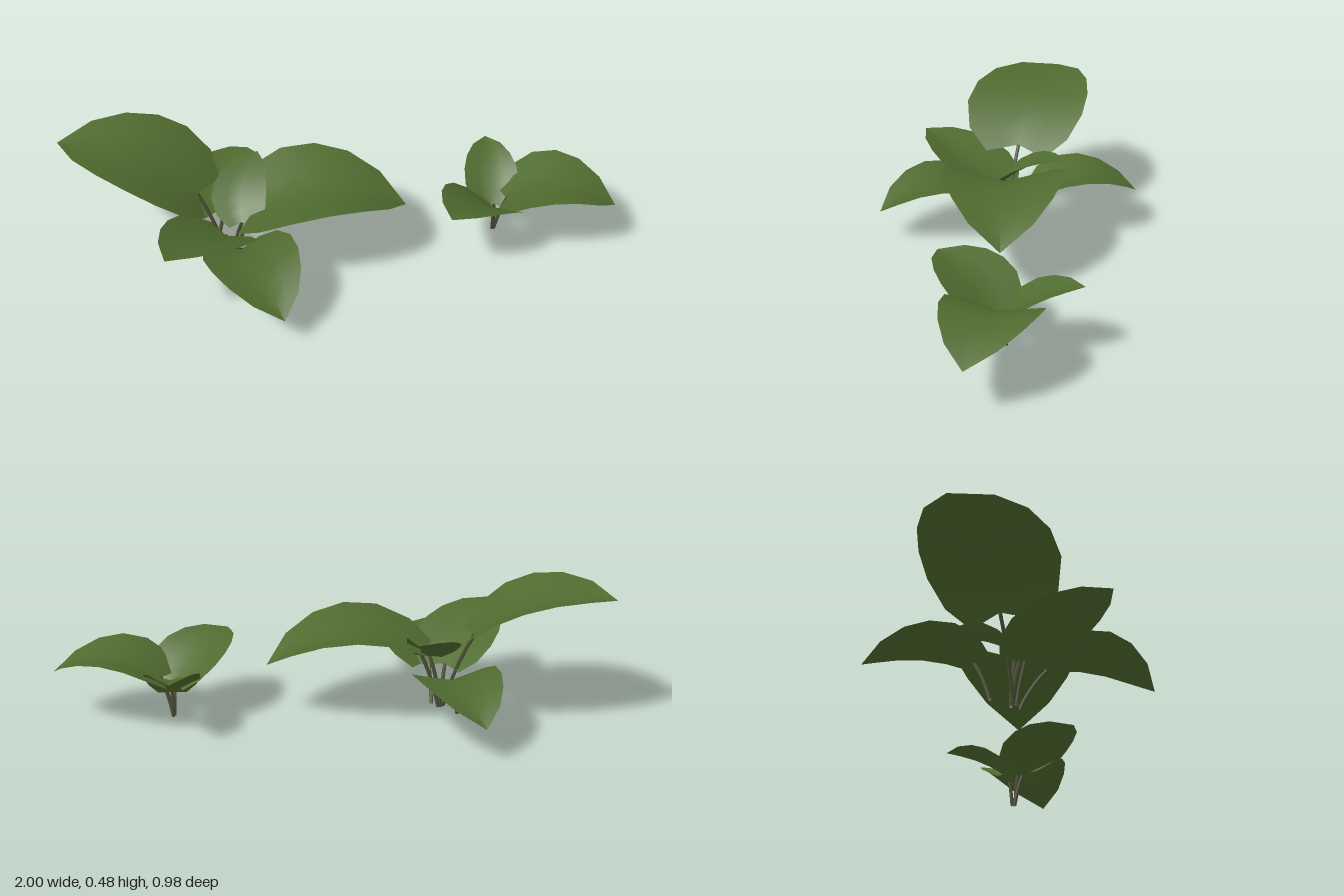
import * as THREE from 'three';

const leafGreen = new THREE.MeshStandardMaterial({ color: 0x4f6b2f, side: THREE.DoubleSide });
leafGreen.name = 'leafGreen';
const stemOlive = new THREE.MeshStandardMaterial({ color: 0x4c4f36, side: THREE.DoubleSide });
stemOlive.name = 'stemOlive';

const V = (p) => new THREE.Vector3(...p);

// Half-width of a leaf along its length: [t, share of full half-width]
const PROFILE = [[0, 0.5], [0.12, 0.85], [0.3, 1], [0.48, 0.97], [0.66, 0.81], [0.84, 0.51], [1, 0]];
const ACROSS = [-1, -0.5, 0, 0.5, 1];

// Heart-shaped blade: the midrib passes through base, mid and tip; sides fold up
function leafGeometry({ base, mid, tip, half, fold = 0.24, roll = 0 }) {
  const b = V(base), e = V(tip);
  const control = V(mid).multiplyScalar(2).addScaledVector(b, -0.5).addScaledVector(e, -0.5);
  const rib = new THREE.QuadraticBezierCurve3(b, control, e);
  const length = b.distanceTo(e);
  const heading = e.clone().sub(b).setY(0).normalize();
  const positions = [], index = [];
  PROFILE.forEach(([t, w], i) => {
    const p = rib.getPoint(t), tangent = rib.getTangent(t);
    const side = new THREE.Vector3(0, 1, 0).cross(heading).applyAxisAngle(tangent, roll);
    const up = tangent.clone().cross(side).normalize();
    ACROSS.forEach((s, j) => {
      const q = p.clone()
        .addScaledVector(side, s * w * half)
        .addScaledVector(up, Math.abs(s) * w * half * fold)
        .addScaledVector(tangent, -0.1 * length * Math.abs(s) * (1 - t) ** 2);
      positions.push(q.x, q.y, q.z);
      if (i < PROFILE.length - 1 && j < 4) {
        const a = i * 5 + j, c = a + 5;
        index.push(a, c, a + 1);
        if (i < PROFILE.length - 2) index.push(c, c + 1, a + 1);
      }
    });
  });
  const g = new THREE.BufferGeometry();
  g.setAttribute('position', new THREE.Float32BufferAttribute(positions, 3));
  g.setIndex(index);
  g.computeVertexNormals();
  return g;
}

// Thin stalk leaving the root upright and bending out to the leaf
function stemGeometry(root, base) {
  const a = V(root), c = V(base);
  const bend = a.clone().lerp(c, 0.4);
  bend.y = a.y + (c.y - a.y) * 0.6;
  return new THREE.TubeGeometry(new THREE.QuadraticBezierCurve3(a, bend, c), 5, 0.007, 5);
}

const LARGE_PLANT = [
  { name: 'bigLeftLeaf', root: [-0.42, 0, 0.01], base: [-0.52, 0.29, -0.03], mid: [-0.74, 0.425, -0.085], tip: [-1, 0.455, -0.17], half: 0.235, fold: 0.2 },
  { name: 'bigRightLeaf', root: [-0.4, 0, 0.0], base: [-0.33, 0.215, 0.01], mid: [-0.05, 0.285, 0.005], tip: [0.23, 0.19, 0], half: 0.225, fold: 0.25 },
  { name: 'frontLeaf', root: [-0.38, 0, 0.03], base: [-0.38, 0.14, 0.12], mid: [-0.335, 0.185, 0.3], tip: [-0.26, 0.11, 0.485], half: 0.165 },
  { name: 'frontLeftLeaf', root: [-0.41, 0, 0.02], base: [-0.43, 0.15, 0.05], mid: [-0.53, 0.235, 0.19], tip: [-0.65, 0.3, 0.345], half: 0.155 },
  { name: 'backLeaf', root: [-0.46, 0, -0.065], base: [-0.42, 0.15, -0.12], mid: [-0.43, 0.2, -0.3], tip: [-0.485, 0.125, -0.49], half: 0.155 },
  { name: 'centreLeaf', root: [-0.41, 0, 0.0], base: [-0.37, 0.19, 0.03], mid: [-0.36, 0.27, -0.08], tip: [-0.29, 0.325, -0.21], half: 0.1 },
];

const SMALL_PLANT = [
  { name: 'smallRightLeaf', root: [0.57, 0.02, -0.03], base: [0.61, 0.165, -0.02], mid: [0.8, 0.235, 0.01], tip: [0.995, 0.165, 0.07], half: 0.17, fold: 0.2 },
  { name: 'smallFrontLeaf', root: [0.565, 0.02, -0.03], base: [0.56, 0.14, 0], mid: [0.46, 0.225, 0.095], tip: [0.36, 0.265, 0.205], half: 0.145 },
  { name: 'smallBackLeaf', root: [0.57, 0.02, -0.04], base: [0.57, 0.12, -0.05], mid: [0.57, 0.21, -0.16], tip: [0.58, 0.25, -0.3], half: 0.1 },
];

function plant(name, leaves) {
  const group = new THREE.Group();
  group.name = name;
  for (const leaf of leaves) {
    const blade = new THREE.Mesh(leafGeometry(leaf), leafGreen);
    blade.name = leaf.name;
    const stem = new THREE.Mesh(stemGeometry(leaf.root, leaf.base), stemOlive);
    stem.name = leaf.name + 'Stem';
    group.add(blade, stem);
  }
  return group;
}

export function createModel() {
  const model = new THREE.Group();
  model.name = 'leafyPlants';
  model.add(plant('largePlant', LARGE_PLANT), plant('smallPlant', SMALL_PLANT));
  return model;
}
